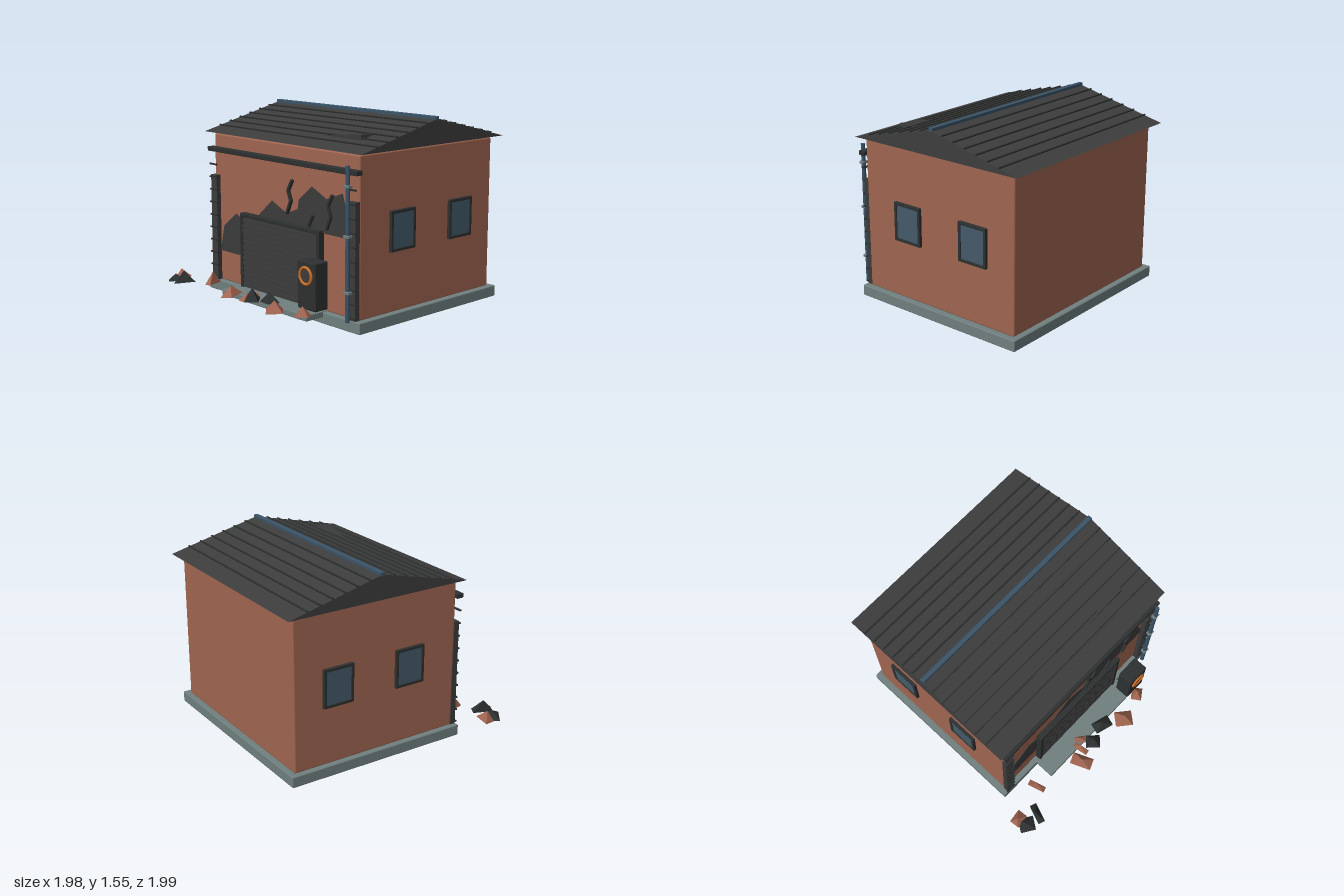
import * as THREE from 'three';
import { RoundedBoxGeometry } from 'three/addons/geometries/RoundedBoxGeometry.js';

export function createModel() {
  const model = new THREE.Group();
  model.name = 'damagedGarage';
  const mat = (name, color, side = THREE.FrontSide) => {
    const m = new THREE.MeshStandardMaterial({ color, side });
    m.name = name;
    return m;
  };
  const brick = mat('brick', 0xa06550);
  const roofDark = mat('roofSheet', 0x3d3d3d);
  const trim = mat('darkTrim', 0x2d3030);
  const panel = mat('charcoalPanel', 0x3b3b3b);
  const concrete = mat('concrete', 0x707f7f);
  const steel = mat('blueSteel', 0x3a5468);
  const glass = mat('glass', 0x445a69);
  const orange = mat('orange', 0xcf7026);

  const add = (name, geo, material, parent = model) => {
    const m = new THREE.Mesh(geo, material);
    m.name = name;
    parent.add(m);
    return m;
  };
  // Box from its limits, with an optional small bevel
  const box = (name, material, [x0, x1], [y0, y1], [z0, z1], r = 0, parent = model) => {
    const s = [x1 - x0, y1 - y0, z1 - z0];
    const geo = r ? new RoundedBoxGeometry(...s, 2, r) : new THREE.BoxGeometry(...s);
    const m = add(name, geo, material, parent);
    m.position.set((x0 + x1) / 2, (y0 + y1) / 2, (z0 + z1) / 2);
    return m;
  };
  const group = (name) => {
    const g = new THREE.Group();
    g.name = name;
    model.add(g);
    return g;
  };
  const polygon = (pts) => new THREE.Shape(pts.map(([x, y]) => new THREE.Vector2(x, y)));

  // Base, step and walls
  box('foundation', concrete, [-0.845, 0.97], [0, 0.09], [-0.975, 0.595], 0.008);
  box('frontStep', concrete, [-0.45, 0.575], [0.05, 0.097], [0.5, 0.765], 0.006);
  box('walls', brick, [-0.8, 0.92], [0.085, 1.322], [-0.93, 0.55], 0.014);

  // Gable roof
  const ridgeZ = -0.2, ridgeY = 1.53, eaveY = 1.335, half = 0.8;
  const roof = group('roof');
  const gable = new THREE.ExtrudeGeometry(
    polygon([[-0.6, eaveY], [1, eaveY], [-ridgeZ, ridgeY]]), { depth: 1.85, bevelEnabled: false });
  gable.rotateY(Math.PI / 2).translate(-0.865, 0, 0);
  add('gable', gable, roofDark, roof);
  const slope = Math.atan2(ridgeY - eaveY, half);
  for (const side of [-1, 1]) {
    for (let i = 1; i <= 6; i++) {
      const d = i * 0.107;
      const rib = add('roofRib', new THREE.BoxGeometry(1.85, 0.016, 0.012), trim, roof);
      rib.position.set(0.06, ridgeY - d * Math.tan(slope) + 0.002, ridgeZ + side * d);
      rib.rotation.x = side * slope;
    }
  }
  box('ridgeCap', steel, [-0.868, 0.988], [1.517, 1.55], [-0.22, -0.182], 0.004, roof);
  // Tilted loose sheet poking through the roof
  const sheet = box('looseSheet', panel, [0, 0.74], [1.356, 1.398], [-0.38, 0.36], 0, roof);
  sheet.rotation.z = 0.098;

  // Beam across the front
  box('frontBeam', trim, [-0.825, 0.945], [1.178, 1.215], [0.545, 0.607], 0.005);

  // Corner strips with rungs
  for (const x of [-0.768, 0.88]) {
    const g = group('cornerStrip');
    box('strip', panel, [x - 0.037, x + 0.037], [0.09, 0.98], [0.545, 0.59], 0, g);
    for (let i = 0; i < 10; i++) {
      const y = 0.11 + i * 0.1067;
      box('rung', trim, [x - 0.046, x + 0.046], [y - 0.006, y + 0.006], [0.585, 0.6], 0, g);
    }
  }

  // Drainpipe with clamps
  const pipe = group('drainpipe');
  const tube = add('pipe', new THREE.CylinderGeometry(0.017, 0.017, 1.165, 10), steel, pipe);
  tube.position.set(0.878, 0.668, 0.63);
  for (const y of [0.31, 0.73, 1.1]) {
    box('clamp', concrete, [0.85, 0.906], [y - 0.011, y + 0.011], [0.608, 0.65], 0.004, pipe);
  }

  // Side windows
  for (const [wallX, out] of [[0.92, 1], [-0.8, -1]]) {
    for (const z of [0.107, -0.548]) {
      const w = group('sideWindow');
      w.position.set(wallX, 0.717, z);
      w.rotation.y = out * Math.PI / 2;
      box('pane', glass, [-0.112, 0.112], [-0.136, 0.136], [-0.01, 0.017], 0, w);
      for (const s of [-1, 1]) {
        box('frameSide', trim, [s * 0.121 - 0.012, s * 0.121 + 0.012], [-0.158, 0.158], [-0.01, 0.025], 0.005, w);
        box('frameRail', trim, [-0.133, 0.133], [s * 0.146 - 0.012, s * 0.146 + 0.012], [-0.01, 0.025], 0.005, w);
      }
    }
  }

  // Roller door
  const door = group('rollerDoor');
  box('doorPanel', panel, [-0.39, 0.51], [0.09, 0.69], [0.54, 0.588], 0, door);
  box('jamb', trim, [-0.415, -0.383], [0.09, 0.712], [0.54, 0.603], 0.005, door);
  box('jamb', trim, [0.505, 0.537], [0.09, 0.712], [0.54, 0.603], 0.005, door);
  box('doorHead', trim, [-0.415, 0.537], [0.683, 0.712], [0.54, 0.603], 0.005, door);
  for (let i = 0; i < 13; i++) {
    const y = 0.12 + i * 0.0445;
    box('slat', panel, [-0.383, 0.505], [y - 0.015, y + 0.015], [0.58, 0.598], 0, door);
  }

  // Soot patches on the front wall
  const soot = [
    [[-0.735, 0.34], [-0.3, 0.34], [-0.3, 0.56], [-0.41, 0.635], [-0.52, 0.68], [-0.68, 0.56]],
    [[-0.3, 0.62], [0.36, 0.62], [0.32, 0.85], [0.24, 0.83], [0.11, 0.78], [-0.06, 0.855], [-0.22, 0.72]],
    [[0.22, 0.69], [0.87, 0.69], [0.835, 0.75], [0.745, 1.02], [0.57, 0.955], [0.41, 1.03], [0.265, 0.91]],
  ];
  soot.forEach((pts, i) => {
    const geo = new THREE.ExtrudeGeometry(polygon(pts), { depth: 0.007, bevelEnabled: false });
    add('sootPatch', geo, panel).position.z = 0.55 + i * 0.0012;
  });

  // Zigzag cracks
  const zigzag = [[0.03, 0.13], [-0.015, 0.05], [0.015, -0.03], [-0.03, -0.13]];
  for (const [cx, cy] of [[0.168, 0.92], [0.62, 0.862], [0.405, 0.68]]) {
    const g = group('crack');
    for (let i = 0; i < 3; i++) {
      const [ax, ay] = zigzag[i], [bx, by] = zigzag[i + 1];
      const bar = add('crackBar', new THREE.BoxGeometry(0.02, Math.hypot(bx - ax, by - ay) + 0.01, 0.025), trim, g);
      bar.position.set(cx + (ax + bx) / 2, cy + (ay + by) / 2, 0.568);
      bar.rotation.z = Math.atan2(ax - bx, ay - by) * -1;
    }
  }

  // Control box with ring dial
  const cabinet = group('controlBox');
  box('cabinet', trim, [0.495, 0.695], [0.15, 0.52], [0.65, 0.782], 0.012, cabinet);
  add('dialRing', new THREE.TorusGeometry(0.064, 0.011, 8, 24), orange, cabinet).position.set(0.594, 0.412, 0.787);
  const disc = add('dialFace', new THREE.CylinderGeometry(0.056, 0.056, 0.006, 24), panel, cabinet);
  disc.rotation.x = Math.PI / 2;
  disc.position.set(0.594, 0.412, 0.784);

  // Rubble: faceted pyramids [x, z, width, depth, height, base y, turn, tilt, material]
  const chunk = new THREE.ConeGeometry(Math.SQRT1_2, 1, 4).rotateY(Math.PI / 4).toNonIndexed();
  chunk.computeVertexNormals();
  const rubble = group('rubble');
  [
    [-0.925, 0.82, 0.12, 0.09, 0.08, 0.11, 0.1, 0.25, brick],
    [-0.905, 0.9, 0.13, 0.12, 0.06, 0.105, -0.6, 0.15, trim],
    [-0.785, 0.9, 0.06, 0.17, 0.1, 0.11, -0.37, 0.2, trim],
    [-0.605, 0.74, 0.05, 0.15, 0.1, 0.11, 0.27, 0, brick],
    [-0.19, 0.875, 0.1, 0.18, 0.08, 0.12, 0.4, 0.1, brick],
    [-0.1, 0.78, 0.05, 0.15, 0.06, 0.085, 0.15, -0.1, brick],
    [-0.05, 0.73, 0.12, 0.06, 0.06, 0.09, -0.7, 0.1, brick],
    [0.01, 0.825, 0.12, 0.11, 0.1, 0.11, -0.8, 0, trim],
    [0.17, 0.78, 0.16, 0.1, 0.085, 0.12, -0.3, 0.1, trim],
    [0.345, 0.88, 0.15, 0.13, 0.085, 0.105, -0.7, 0, brick],
    [0.59, 0.815, 0.11, 0.09, 0.075, 0.11, 0.6, 0, brick],
  ].forEach(([x, z, w, d, h, y, turn, tilt, m]) => {
    const c = add('rubbleChunk', chunk, m, rubble);
    c.scale.set(w, h, d);
    c.position.set(x, y + h / 2, z);
    c.rotation.set(0, turn, tilt);
  });

  return model;
}
